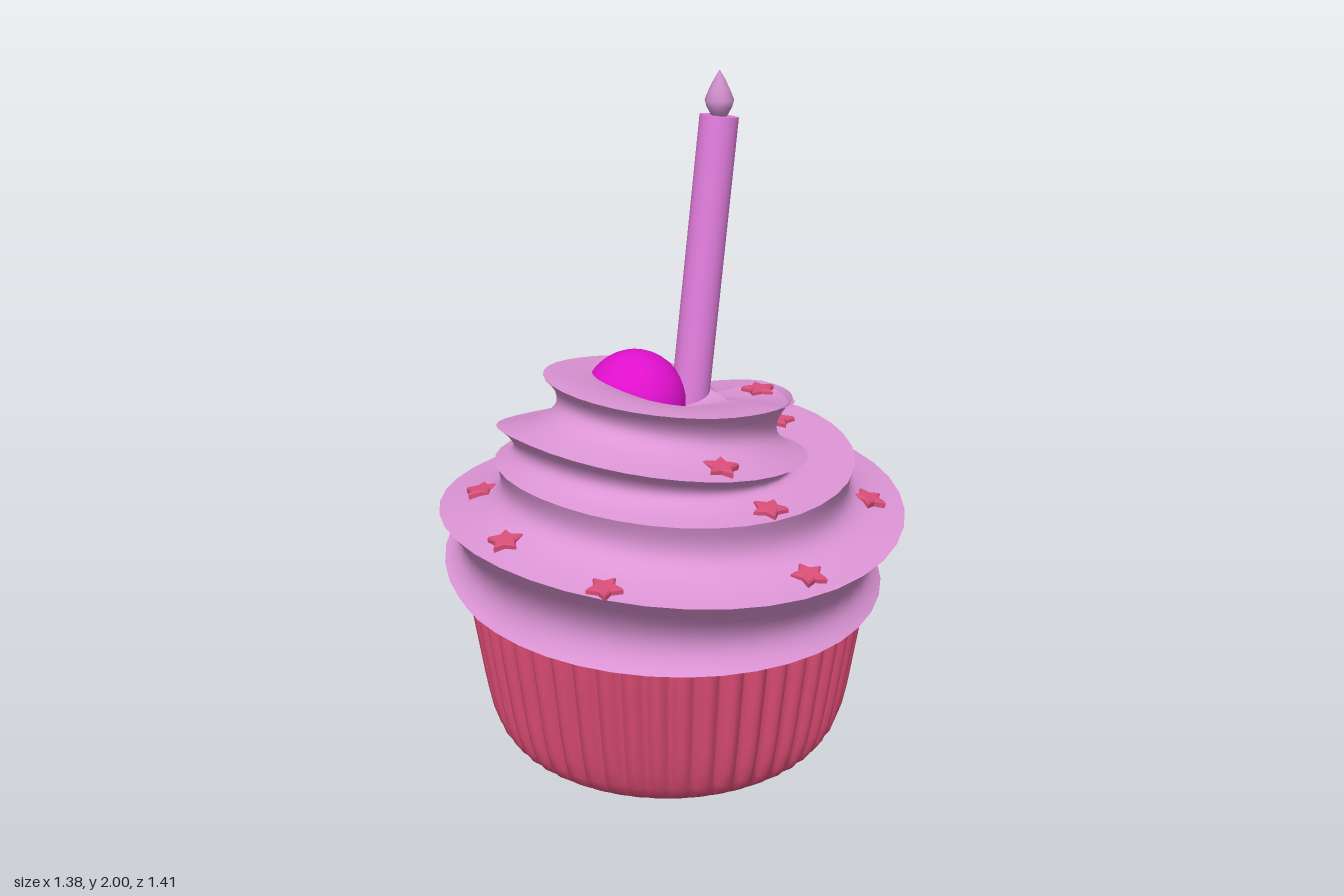
import * as THREE from 'three';
import { mergeVertices } from 'three/addons/utils/BufferGeometryUtils.js';

const mat = (color) => new THREE.MeshStandardMaterial({ color, side: THREE.DoubleSide });

function add(group, name, geometry, material) {
  const mesh = new THREE.Mesh(geometry, material);
  mesh.name = name;
  group.add(mesh);
  return mesh;
}

// Grid surface from a point rule f(i, j)
function gridSurface(nu, nv, f) {
  const pos = [], idx = [];
  for (let i = 0; i <= nu; i++) for (let j = 0; j <= nv; j++) pos.push(...f(i, j));
  for (let i = 0; i < nu; i++) for (let j = 0; j < nv; j++) {
    const a = i * (nv + 1) + j, b = a + nv + 1;
    idx.push(a, a + 1, b, b, a + 1, b + 1);
  }
  const g = new THREE.BufferGeometry();
  g.setAttribute('position', new THREE.Float32BufferAttribute(pos, 3));
  g.setIndex(idx);
  g.computeVertexNormals();
  return g;
}

// Crest of the frosting spiral as (radius, height) at each quarter turn:
// left, back, right, front, and so on inwards
const crestKeys = [
  [0.63, 0.52], [0.70, 0.65], [0.69, 0.77], [0.71, 0.72],
  [0.69, 0.78], [0.63, 0.75], [0.54, 0.92], [0.56, 0.89],
  [0.53, 0.93], [0.45, 0.87], [0.37, 0.89], [0.46, 0.97],
  [0.495, 1.05], [0.48, 0.92], [0.38, 1.04], [0.36, 1.12],
  [0.38, 1.18], [0.29, 1.13], [0.15, 1.08],
];
const crestCurve = new THREE.CatmullRomCurve3(crestKeys.map(([r, y]) => new THREE.Vector3(r, y, 0)));
const lastQuarter = crestKeys.length - 1;
const crest = (q) => crestCurve.getPoint(Math.min(1, q / lastQuarter));

// Lower edge of the frosting at each quarter of the first turn
const skirtCurve = new THREE.CatmullRomCurve3(
  [[0.63, 0.52], [0.625, 0.51], [0.635, 0.545], [0.64, 0.495], [0.63, 0.52]].map(([r, y]) => new THREE.Vector3(r, y, 0)));
const skirt = (q) => skirtCurve.getPoint(q / 4);

const place = (q, p) => {
  const a = q * Math.PI / 2;
  return [-p.x * Math.cos(a), p.y, -p.x * Math.sin(a)];
};

// Section of the coil wall: hollow base band first, later a shelf that turns up into a wall
function wallPoint(q, s) {
  const low = q < 4 ? skirt(q) : crest(q - 4), top = crest(q);
  const band = new THREE.Vector3(
    low.x + (top.x - low.x) * Math.pow(s, 0.8) - 0.07 * Math.min(1, q) * Math.sin(Math.PI * s),
    low.y + (top.y - low.y) * Math.pow(s, 1.25), 0);
  const undercut = 0.03 + 0.035 * THREE.MathUtils.smoothstep(q, 8, 10);
  const inner = Math.min(low.x, top.x) - undercut, dy = top.y - low.y;
  const shelf = new THREE.CubicBezierCurve3(
    low, new THREE.Vector3(inner, low.y + 0.15 * dy, 0), new THREE.Vector3(inner, low.y + 0.5 * dy, 0), top).getPoint(s);
  return band.lerp(shelf, THREE.MathUtils.smoothstep(q, 3.5, 5.5));
}

// Section of the hollow top, which runs into the end of the swirl where the last turn starts
function topPoint(q, s) {
  const bowl = (from, t) => new THREE.Vector3(from.x * (1 - t), from.y + (1.03 - from.y) * t * t, 0);
  const tip = s < 0.5 ? wallPoint(lastQuarter, s * 2) : bowl(crest(lastQuarter), s * 2 - 1);
  const blend = 1 - THREE.MathUtils.smoothstep(q, lastQuarter - 4, lastQuarter - 3.2);
  return bowl(crest(q), s).lerp(tip, blend);
}

function buildFrosting(group) {
  const material = mat(0xdd95d6);
  const per = 10, across = 12;
  add(group, 'frostingSwirl', gridSurface(lastQuarter * per, across,
    (i, j) => place(i / per, wallPoint(i / per, j / across))), material);
  add(group, 'frostingTop', gridSurface(4 * per, 2 * across, (i, j) => {
    const q = lastQuarter - 4 + i / per;
    return place(q, topPoint(q, j / (2 * across)));
  }), material);
  // Underside resting on the cup
  add(group, 'frostingUnderside', gridSurface(4 * per, 1, (i, j) => {
    const p = skirt(i / per);
    return place(i / per, j ? p : new THREE.Vector3(0.3, p.y, 0));
  }), material);
}

// Pleated paper cup
function buildCup(group) {
  const pleats = 50;
  const profile = [
    [0, 0], [0.43, 0], [0.465, 0.008], [0.492, 0.03], [0.515, 0.07], [0.532, 0.13],
    [0.546, 0.2], [0.561, 0.3], [0.576, 0.4], [0.588, 0.5], [0.585, 0.52], [0.55, 0.545],
  ].map(([r, y]) => new THREE.Vector2(r, y));
  const lathe = new THREE.LatheGeometry(profile, pleats * 6);
  lathe.deleteAttribute('uv');
  lathe.deleteAttribute('normal');
  const g = mergeVertices(lathe);
  const p = g.attributes.position;
  for (let i = 0; i < p.count; i++) {
    const x = p.getX(i), y = p.getY(i), z = p.getZ(i);
    const wave = Math.abs(Math.cos(Math.atan2(x, z) * pleats / 2));
    const k = 1 + 0.05 * (wave - 0.6) * Math.min(1, y / 0.1);
    p.setXYZ(i, x * k, y, z * k);
  }
  g.computeVertexNormals();
  add(group, 'paperCup', g, mat(0xdf4d76)).position.set(0.012, 0, -0.012);
}

// Leaning candle with a drop-shaped flame
function buildCandle(group) {
  const base = new THREE.Vector3(0.08, 1.0, 0.002), top = new THREE.Vector3(0.207, 1.87, -0.015);
  const dir = top.clone().sub(base);
  const candle = add(group, 'candle', new THREE.CylinderGeometry(0.056, 0.056, dir.length(), 24), mat(0xe07cdc));
  candle.position.copy(base).lerp(top, 0.5);
  candle.quaternion.setFromUnitVectors(new THREE.Vector3(0, 1, 0), dir.normalize());
  const drop = [[0, 0], [0.022, 0.004], [0.036, 0.03], [0.042, 0.05], [0.03, 0.08], [0.014, 0.112], [0, 0.135]];
  add(group, 'flame', new THREE.LatheGeometry(drop.map(([r, y]) => new THREE.Vector2(r, y)), 16), mat(0xcf8fcc))
    .position.set(0.207, 1.865, -0.015);
}

// Star sprinkles dropped onto the frosting
function buildStars(group) {
  const shape = new THREE.Shape();
  for (let i = 0; i < 10; i++) {
    const a = i * Math.PI / 5, r = i % 2 ? 0.024 : 0.046;
    shape[i ? 'lineTo' : 'moveTo'](r * Math.sin(a), r * Math.cos(a));
  }
  shape.closePath();
  const geometry = new THREE.ExtrudeGeometry(shape, {
    depth: 0.014, bevelEnabled: true, bevelSize: 0.005, bevelThickness: 0.006, bevelSegments: 1,
  });
  geometry.translate(0, 0, -0.004);
  const material = mat(0xdb4f7a);
  const spots = [
    [0.38, -0.53], [0.07, -0.49], [-0.44, -0.32], [0.10, -0.31], [0.15, -0.27], [-0.60, 0.02], [0.59, 0.04],
    [-0.54, 0.38], [0.42, 0.42], [-0.13, 0.38], [-0.06, 0.50], [-0.03, 0.63], [0.30, 0.07], [0.40, 0.05],
  ];
  const frosting = group.children.filter((m) => m.name.startsWith('frosting'));
  const ray = new THREE.Raycaster();
  spots.forEach(([x, z], i) => {
    ray.set(new THREE.Vector3(x, 3, z), new THREE.Vector3(0, -1, 0));
    const hit = ray.intersectObjects(frosting)[0];
    const n = hit.face.normal.clone();
    if (n.y < 0) n.negate();
    n.lerp(new THREE.Vector3(0, 1, 0), 0.5).normalize();
    const star = add(group, 'starSprinkle', geometry, material);
    star.position.copy(hit.point);
    star.quaternion.setFromUnitVectors(new THREE.Vector3(0, 0, 1), n);
    star.rotateZ(i * 0.9);
  });
}

export function createModel() {
  const group = new THREE.Group();
  group.name = 'cupcake';
  buildCup(group);
  buildFrosting(group);
  buildStars(group);
  add(group, 'cherry', new THREE.SphereGeometry(0.15, 32, 20), mat(0xe010cc)).position.set(-0.06, 1.06, -0.075);
  buildCandle(group);
  return group;
}
